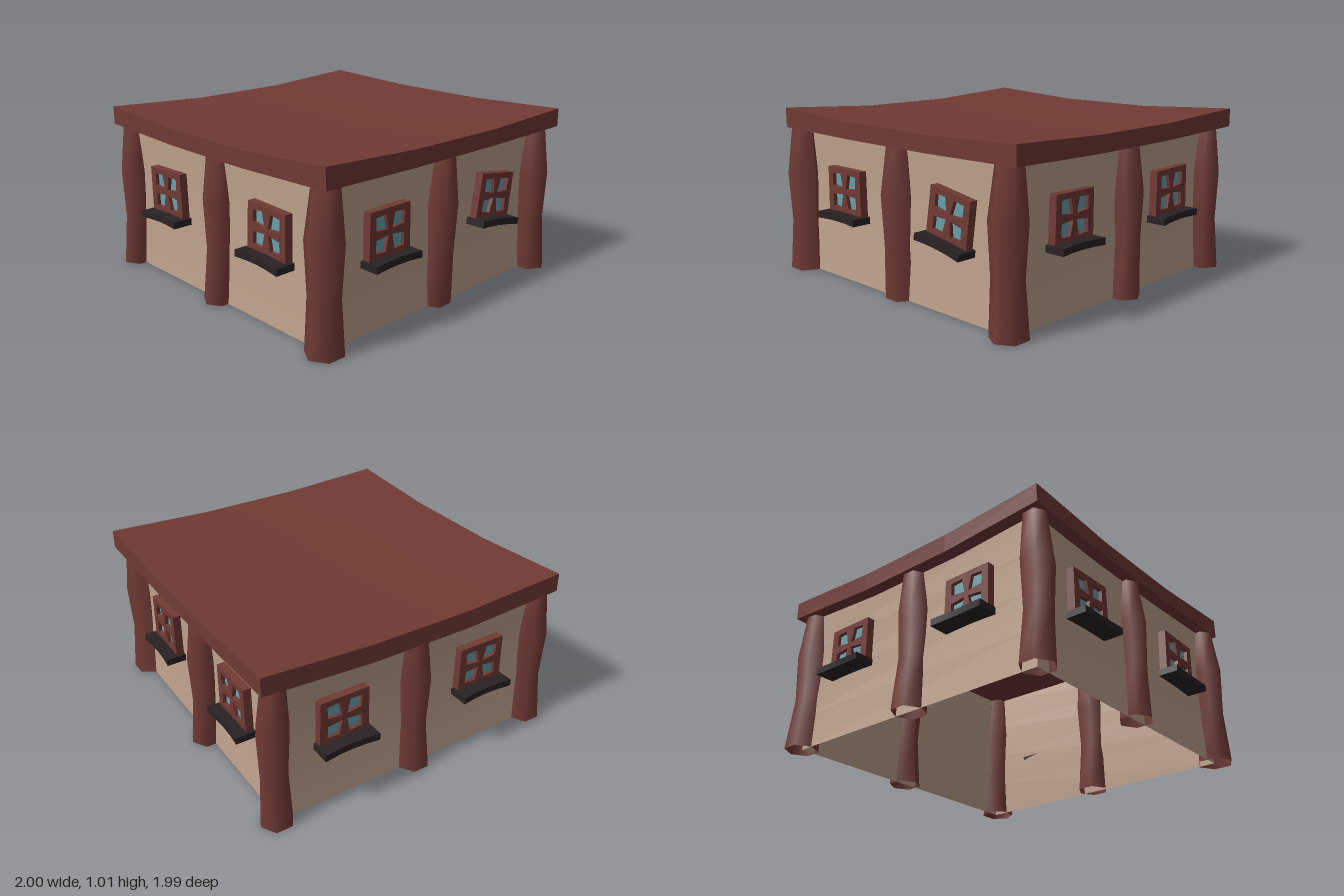
import * as THREE from 'three';

const { lerp } = THREE.MathUtils;
const mat = (name, color, side = THREE.FrontSide) => {
  const m = new THREE.MeshStandardMaterial({ color, side });
  m.name = name;
  return m;
};

// Move every vertex of a geometry by a rule, then refresh the normals
function warp(geo, rule) {
  const p = geo.attributes.position, v = new THREE.Vector3();
  for (let i = 0; i < p.count; i++) {
    v.fromBufferAttribute(p, i);
    rule(v);
    p.setXYZ(i, v.x, v.y, v.z);
  }
  geo.computeVertexNormals();
  return geo;
}

export function createModel() {
  const wood = mat('red brown wood', 0x713a34, THREE.DoubleSide);
  const plaster = mat('beige plaster', 0xbfa28d, THREE.DoubleSide);
  const dark = mat('dark sill wood', 0x2a2224);
  const glass = mat('blue glass', 0x68a0ac, THREE.DoubleSide);

  const model = new THREE.Group();
  model.name = 'cottage';
  const add = (parent, name, geo, material) => {
    const mesh = new THREE.Mesh(geo, material);
    mesh.name = name;
    parent.add(mesh);
    return mesh;
  };

  // Sagging roof slab: each edge dips by its own amount, above and below
  const W = 1.915, D = 1.935;
  const top = { corner: 1.0, front: 0.038, back: 0.025, left: 0.028, right: 0.036 };
  const under = { corner: 0.89, front: 0.02, back: 0.014, left: 0.01, right: 0.036 };
  const roof = add(model, 'roof', warp(new THREE.BoxGeometry(W, 1, D, 3, 1, 3), (v) => {
    const u = v.x / W + 0.5, w = v.z / D + 0.5;
    const s = v.y > 0 ? top : under;
    const inner = (t) => (t > 0.1 && t < 0.9 ? 1 : 0);
    v.y = s.corner + (v.y > 0 ? 0.01 * u * w : 0)
      - inner(u) * lerp(s.back, s.front, w) - inner(w) * lerp(s.right, s.left, u);
  }), wood);
  roof.position.set(0.0075, 0, -0.0225);

  // Four thin walls, pinched slightly at mid height
  const H = 0.9;
  const half = (y) => 0.862 + 0.02 * Math.pow((y - 0.5) / 0.5, 2);
  const wallGeo = warp(new THREE.PlaneGeometry(2, H, 1, 4), (v) => {
    v.y += H / 2;
    v.z = half(v.y);
    v.x *= v.z;
  });

  // Window: frame with four flared panes, and a bent sill
  const quad = [[0.108, 0.098], [0.034, 0.103], [0.014, 0.016], [0.106, 0.026]];
  const signs = [[1, 1], [-1, 1], [-1, -1], [1, -1]];
  const paneShapes = signs.map(([sx, sy]) =>
    new THREE.Shape(quad.map(([x, y]) => new THREE.Vector2(x * sx, y * sy))));
  const frameShape = new THREE.Shape(
    [[-0.155, -0.135], [0.155, -0.135], [0.151, 0.135], [-0.151, 0.135]].map(([x, y]) => new THREE.Vector2(x, y)));
  frameShape.holes = paneShapes;
  const frameGeo = new THREE.ExtrudeGeometry(frameShape, { depth: 0.048, bevelEnabled: false });
  const paneGeo = new THREE.ShapeGeometry(paneShapes);
  const sillGeo = warp(new THREE.BoxGeometry(0.345, 0.04, 0.122, 4, 1, 1), (v) => {
    const bend = 1 - Math.pow(v.x / 0.1725, 2);
    v.y += 0.005 * bend;
    if (v.z > 0) v.z -= 0.01 * bend;
  });

  function addWindow(side, x, tiltDegrees, sillOut = 0) {
    const win = new THREE.Group();
    win.name = 'window';
    win.position.set(x, 0.552, 0);
    win.rotation.z = THREE.MathUtils.degToRad(tiltDegrees);
    add(win, 'windowFrame', frameGeo, wood).position.z = 0.868;
    add(win, 'windowPanes', paneGeo, glass).position.z = 0.894;
    add(win, 'windowSill', sillGeo, dark).position.set(0.001, -0.151, 0.928 + sillOut);
    side.add(win);
  }

  // Each side: name, facing angle, and windows as [offset, tilt, sill reach]
  const sides = [
    ['front', 0, [[-0.45, 1.5, 0.002], [0.479, -2, 0.002]]],
    ['left', Math.PI / 2, [[-0.44, 0, 0], [0.459, -9, -0.003]]],
    ['back', Math.PI, [[-0.44, -1, -0.002], [0.45, 1, -0.002]]],
    ['right', -Math.PI / 2, [[-0.488, 0, 0.011], [0.44, 0, 0.011]]],
  ];
  for (const [name, angle, windows] of sides) {
    const side = new THREE.Group();
    side.name = name + 'Side';
    side.rotation.y = angle;
    add(side, name + 'Wall', wallGeo, plaster);
    windows.forEach((w) => addWindow(side, ...w));
    model.add(side);
  }

  // Crooked six-sided post, open at both ends; drift shifts its rings sideways
  const radii = [0.099, 0.084, 0.099, 0.069];
  const levels = [0, 0.31, 0.6, 0.9];
  const drift = [-0.013, 0.006, 0.006, 0.002];
  const lean = [0.006, 0.002, 0, -0.01];
  function addPost(name, x, z, angle = 0, flip = 1, size = 1) {
    const geo = warp(new THREE.CylinderGeometry(1, 1, 3, 6, 3, true, Math.PI), (v) => {
      const i = Math.round(v.y + 1.5);
      v.set(v.x * radii[i] * size + drift[i] * flip, levels[i], v.z * radii[i] * size + lean[i]);
    });
    const post = add(model, name, geo, wood);
    post.position.set(x, 0, z);
    post.rotation.y = angle;
  }
  addPost('frontRightPost', -0.862, 0.874);
  addPost('frontMiddlePost', 0.008, 0.872);
  addPost('frontLeftPost', 0.886, 0.88, 0, -0.3, 1.1);
  addPost('leftMiddlePost', 0.868, -0.01);
  addPost('backLeftPost', 0.888, -0.868, Math.PI / 2, -0.6, 1.08);
  addPost('backMiddlePost', -0.045, -0.888, Math.PI);
  addPost('backRightPost', -0.864, -0.888, Math.PI, -1);
  addPost('rightMiddlePost', -0.866, 0.005);

  return model;
}
